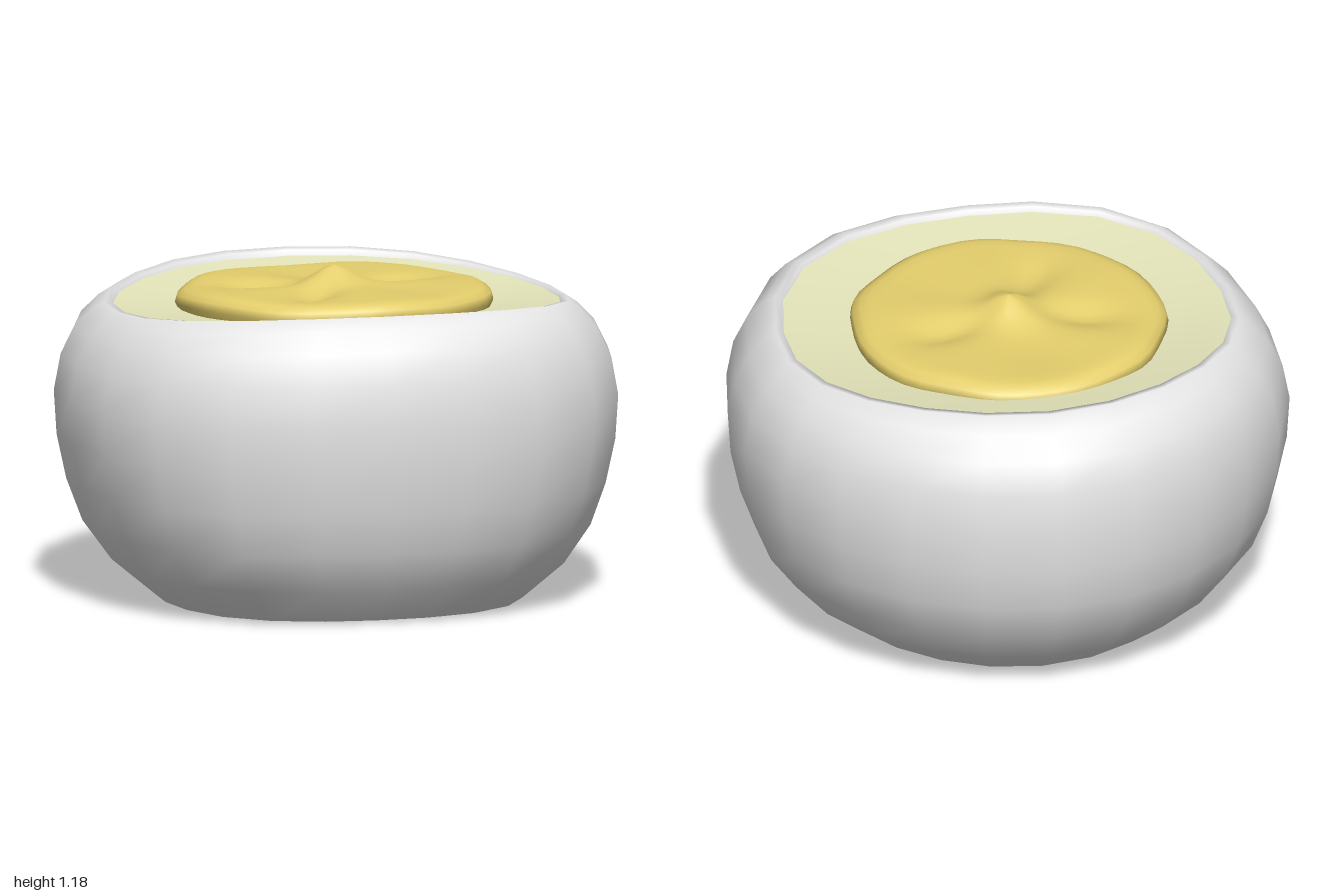
import * as THREE from 'three';

const round = () => 1;
// Plan outline: fuller at the front corners, slightly tighter at the back ones
const squaredFront = (a) => 1 + Math.sin(2 * a) ** 2 * (Math.cos(a) > 0 ? 0.064 : -0.018);

// Lofts closed rings [radiusX, radiusZ, centreZ, y, saddle], listed bottom to top.
// The saddle lifts the front and back of a ring above its sides.
function loft(rings, sides, plan, capBottom = false) {
  const pos = [], idx = [], turn = 0.035;
  for (const [rx, rz, cz, y, saddle] of rings) {
    for (let j = 0; j < sides; j++) {
      const a = (j / sides) * Math.PI * 2 - turn, s = plan(a);
      pos.push(rx * s * Math.sin(a), y + saddle * (1 - Math.abs(Math.sin(a)) ** 3), cz + rz * s * Math.cos(a));
    }
  }
  for (let i = 0; i < rings.length - 1; i++) {
    for (let j = 0; j < sides; j++) {
      const k = (j + 1) % sides;
      const a = i * sides + j, b = i * sides + k, c = a + sides, d = b + sides;
      idx.push(a, b, d, a, d, c);
    }
  }
  if (capBottom) {
    const c = pos.length / 3;
    pos.push(0, rings[0][3], rings[0][2]);
    for (let j = 0; j < sides; j++) idx.push(c, (j + 1) % sides, j);
  }
  const g = new THREE.BufferGeometry();
  g.setAttribute('position', new THREE.Float32BufferAttribute(pos, 3));
  g.setIndex(idx);
  g.computeVertexNormals();
  return g;
}

// Soft groove running out from the peak towards (dx, dz)
function groove(x, z, dx, dz) {
  const len = Math.hypot(dx, dz);
  const along = (x * dx + z * dz) / len, across = (x * dz - z * dx) / len;
  return 0.03 * Math.exp(-((along - 0.27) ** 2) / 0.018 - (across ** 2) / 0.005);
}

export function createModel() {
  const group = new THREE.Group();
  const shellWhite = new THREE.MeshStandardMaterial({ color: 0xe6e6e6 });
  const paleCream = new THREE.MeshStandardMaterial({ color: 0xe3e4b9 });
  const yellow = new THREE.MeshStandardMaterial({ color: 0xe4ce6c });
  const add = (name, geometry, material) => {
    const mesh = new THREE.Mesh(geometry, material);
    mesh.name = name;
    group.add(mesh);
  };

  // Rounded outer body with a flat base and a rolled, saddle-shaped rim
  add('outerBody', loft([
    [0.61, 0.61, 0.05, 0, 0],
    [0.65, 0.65, 0.05, 0.006, 0],
    [0.80, 0.79, 0.03, 0.13, 0],
    [0.90, 0.88, 0.01, 0.27, 0],
    [0.955, 0.935, 0, 0.42, 0],
    [0.99, 0.96, 0, 0.58, 0],
    [1.00, 0.972, 0, 0.74, 0],
    [0.975, 0.957, 0, 0.87, 0.02],
    [0.925, 0.92, 0, 0.97, 0.035],
    [0.865, 0.855, 0.01, 1.03, 0.05],
    [0.825, 0.78, 0.02, 1.056, 0.062],
    [0.80, 0.75, 0.025, 1.056, 0.055],
    [0.79, 0.74, 0.025, 1.02, 0.04],
  ], 22, squaredFront, true), shellWhite);

  // Cream filling, dished and following the saddle of the rim
  const cream = [];
  for (const t of [1, 0.8, 0.6, 0.4, 0.2, 0]) {
    cream.push([0.805 * t, 0.75 * t, 0.025, 1.025 + 0.025 * t * t, 0.042 * t * t]);
  }
  add('creamFilling', loft(cream, 44, squaredFront), paleCream);

  // Soft round centre with a small peak and three grooves
  const centre = [[0.54, 0.54, 0.02, 1.01, 0], [0.565, 0.565, 0.02, 1.06, 0],
    [0.557, 0.557, 0.02, 1.088, 0], [0.53, 0.53, 0.02, 1.105, 0]];
  for (let i = 13; i >= 0; i--) {
    const r = 0.5 * i / 13;
    centre.push([r, r, 0.02, 1.113 + 0.005 * (1 - i / 13), 0]);
  }
  const disc = loft(centre, 48, round);
  const p = disc.attributes.position;
  for (let i = 0; i < p.count; i++) {
    const x = p.getX(i), z = p.getZ(i), r = Math.hypot(x, z - 0.02), a = Math.atan2(x, z - 0.02);
    let y = p.getY(i) + 0.004 * Math.sin(5 * a + 1) * Math.min(1, r / 0.3) + 0.015 * z;
    if (r < 0.52) {
      y += 0.066 * Math.exp(-(r * r) / 0.0085);
      y -= 0.015 * Math.exp(-(x * x + (z + 0.25) ** 2) / 0.03);
      y -= groove(x, z, -0.3, -0.07) + groove(x, z, 0.3, -0.07) + groove(x, z, -0.18, 0.33);
    }
    // Slightly uneven outline
    const s = r > 0.5 ? 1 + 0.008 * Math.sin(7 * a) + 0.006 * Math.sin(11 * a + 2) : 1;
    p.setXYZ(i, x * s, y, z * s);
  }
  disc.computeVertexNormals();
  add('yellowCentre', disc, yellow);

  return group;
}
